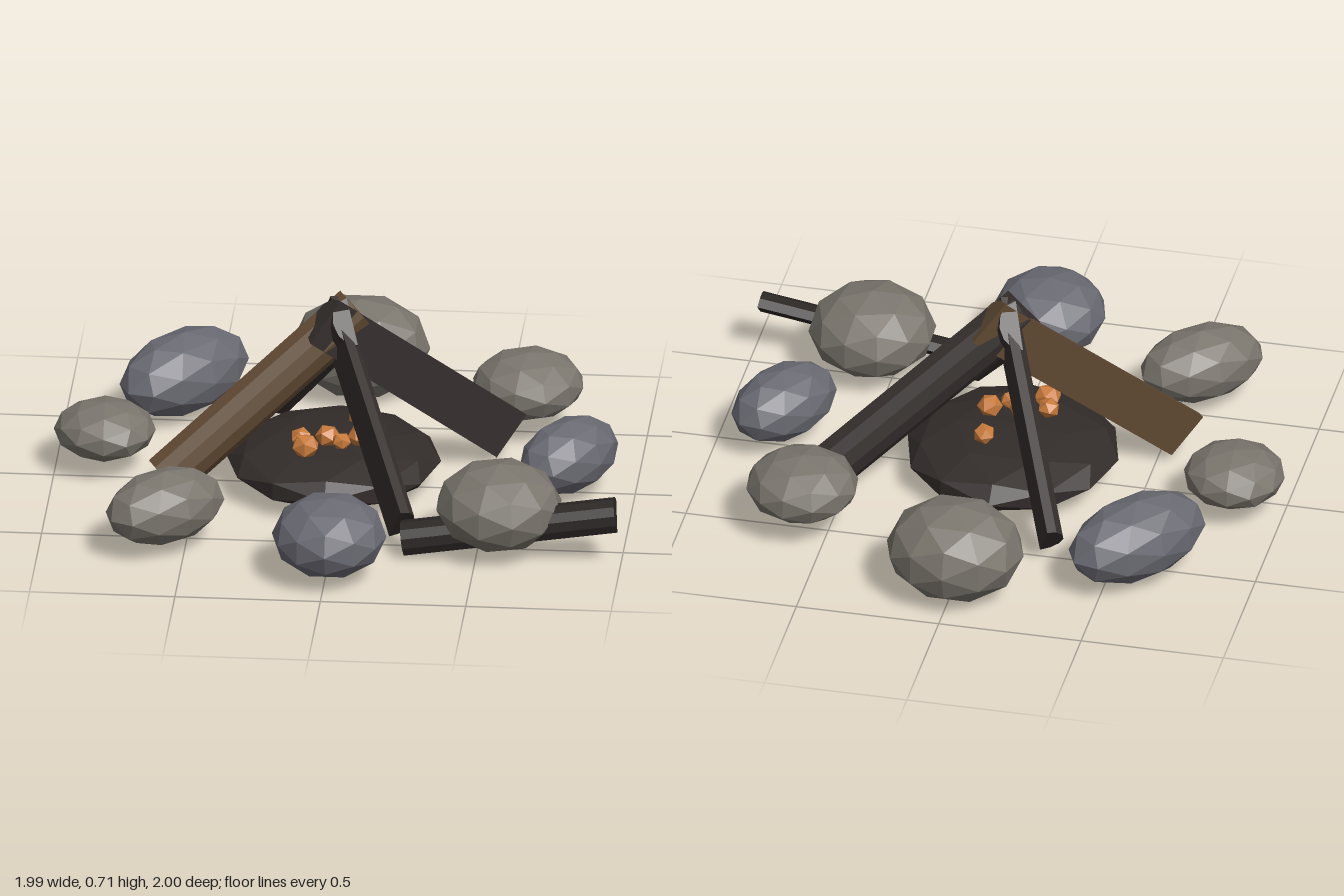
import * as THREE from 'three';

const mat = (color) => new THREE.MeshStandardMaterial({ color, flatShading: true });
const warm = mat(0x7a756d), slate = mat(0x6a6a73), ash = mat(0x322c2a);
const charred = mat(0x352f2d), bark = mat(0x5f4933), black = mat(0x2a2624), glow = mat(0xc87a3c);

// Faceted ellipsoid: centre, radii, turn about y
function pebble(name, material, [x, y, z], [rx, ry, rz], turn = 0, detail = 1) {
  const m = new THREE.Mesh(new THREE.IcosahedronGeometry(1, detail), material);
  m.name = name;
  m.scale.set(rx, ry, rz);
  m.rotation.y = turn;
  m.position.set(x, y, z);
  return m;
}

// Split log with a half-round section, from one point to another; bulge is its round side
function splitLog(name, material, from, to, bulge, r, depth) {
  const a = new THREE.Vector3(...from), b = new THREE.Vector3(...to);
  const shape = new THREE.Shape();
  for (let i = 0; i <= 6; i++) {
    const t = (i / 6) * Math.PI;
    const px = r * Math.cos(t), py = depth * (Math.sin(t) - 0.5);
    if (i) shape.lineTo(px, py); else shape.moveTo(px, py);
  }
  shape.closePath();
  const geo = new THREE.ExtrudeGeometry(shape, { depth: a.distanceTo(b), bevelEnabled: false });
  const zAxis = b.clone().sub(a).normalize();
  const yAxis = new THREE.Vector3(...bulge);
  yAxis.addScaledVector(zAxis, -yAxis.dot(zAxis)).normalize();
  const xAxis = new THREE.Vector3().crossVectors(yAxis, zAxis);
  geo.applyMatrix4(new THREE.Matrix4().makeBasis(xAxis, yAxis, zAxis).setPosition(a));
  const m = new THREE.Mesh(geo, material);
  m.name = name;
  return m;
}

export function createModel() {
  const group = new THREE.Group();
  group.name = 'campfire';

  // Ring of stones
  const ring = new THREE.Group();
  ring.name = 'stoneRing';
  [
    [warm, [-0.01, 0.185, -0.785], [0.24, 0.175, 0.215], 0],
    [warm, [0.59, 0.19, -0.505], [0.195, 0.115, 0.19], 0.4],
    [slate, [0.775, 0.165, 0.035], [0.215, 0.127, 0.138], 1.0],
    [warm, [0.575, 0.185, 0.525], [0.22, 0.153, 0.217], 0.3],
    [slate, [0.013, 0.168, 0.79], [0.197, 0.138, 0.207], 0],
    [warm, [-0.568, 0.168, 0.587], [0.23, 0.128, 0.148], 0.72],
    [warm, [-0.83, 0.158, -0.07], [0.175, 0.098, 0.175], -0.5],
    [slate, [-0.597, 0.17, -0.555], [0.275, 0.145, 0.155], 0.88],
  ].forEach(([m, p, r, turn], i) => ring.add(pebble('stone' + (i + 1), m, p, r, turn)));
  group.add(ring);

  // Flattened ash bed with embers on top
  group.add(pebble('ashBed', ash, [-0.037, 0.11, 0], [0.37, 0.1, 0.383]));
  [
    [-0.12, 0.17, 0.05], [-0.14, 0.1, 0.04], [-0.05, 0.08, 0.045],
    [0.06, 0.07, 0.045], [0.04, -0.11, 0.04], [0.0, 0.12, 0.035],
  ].forEach(([x, z, r], i) =>
    group.add(pebble('ember' + (i + 1), glow, [x, 0.225, z], [r, r * 0.9, r], i * 1.3, 0)));

  // Four split logs leaning together, each with its flat side turned the same way round
  [
    ['leftLog', bark, [-0.585, 0.25], [0.05, -0.025], 0.09, 0.09],
    ['rightLog', charred, [0.535, -0.28], [-0.08, 0.03], 0.09, 0.09],
    ['frontLog', charred, [0.25, 0.53], [-0.04, -0.07], 0.085, 0.07],
    ['backLog', charred, [-0.3, -0.54], [0.0, 0.07], 0.085, 0.07],
  ].forEach(([name, m, [x0, z0], [x1, z1], r, d]) =>
    group.add(splitLog(name, m, [x0, 0.107, z0], [x1, 0.645, z1], [z0 - z1, 0, x1 - x0], r, d)));

  // Loose split log lying under a stone
  group.add(splitLog('fallenLog', black, [0.245, 0.09, 0.59], [0.98, 0.203, 0.59], [0, 0.75, 0.6], 0.065, 0.065));

  return group;
}
